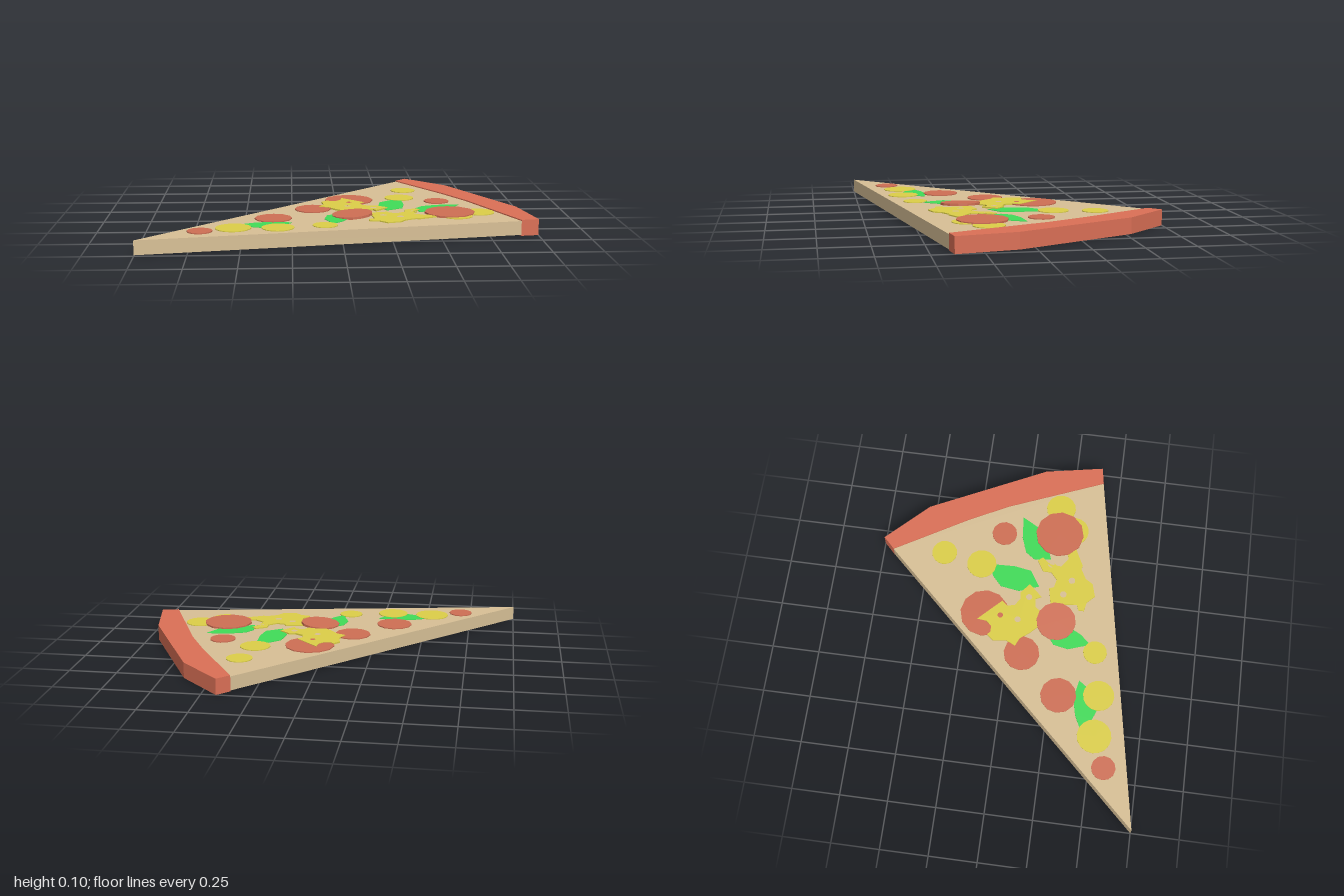
import * as THREE from 'three';

const mat = (color) => new THREE.MeshStandardMaterial({ color, flatShading: true });

export function createModel() {
  const group = new THREE.Group();
  group.name = 'pizzaSlice';
  const dough = mat(0xd8c096), crustRed = mat(0xdb7056), red = mat(0xcf6f54);
  const yellow = mat(0xdccf48), green = mat(0x40dc58);

  const add = (name, geometry, material) => {
    const mesh = new THREE.Mesh(geometry, material);
    mesh.name = name;
    group.add(mesh);
    return mesh;
  };

  // Upright slab from an [x, z] outline, with optional round holes [x, z, r]
  const slab = (name, outline, y0, y1, material, holes = []) => {
    const shape = new THREE.Shape(outline.map(([x, z]) => new THREE.Vector2(x, -z)));
    for (const [x, z, r] of holes) {
      shape.holes.push(new THREE.Path().absarc(x, -z, r, 0, Math.PI * 2, true));
    }
    const geo = new THREE.ExtrudeGeometry(shape, { depth: y1 - y0, bevelEnabled: false, curveSegments: 6 });
    geo.rotateX(-Math.PI / 2).translate(0, y0, 0);
    return add(name, geo, material);
  };

  // Flat round topping with its top face at height y
  const disc = (name, [x, z, r], y, sides, material) => {
    const h = 0.012;
    const mesh = add(name, new THREE.CylinderGeometry(r, r, h, sides), material);
    mesh.position.set(x, y - h / 2, z);
    return mesh;
  };

  // Dough wedge and crust share the inner edge
  const seam = [[0.365, -0.69], [0.59, -0.31], [0.7, -0.1], [0.91, 0.405]];
  slab('doughBase', [[-1, 0.75], ...seam], 0.005, 0.077, dough);
  slab('crust', [...seam, [1, 0.39], [0.94, 0.08], [0.64, -0.53], [0.425, -0.75]], 0, 0.083, crustRed);

  // Basil leaves
  const leaves = [
    [[0.345, -0.16], [0.35, -0.02], [0.335, 0.07], [0.25, 0.125], [0.21, 0.02], [0.225, -0.08], [0.28, -0.13]],
    [[0.645, -0.01], [0.595, 0.08], [0.5, 0.14], [0.415, 0.17], [0.405, 0.08], [0.44, 0.03], [0.525, 0]],
    [[-0.045, 0.435], [-0.085, 0.32], [-0.07, 0.24], [-0.01, 0.2], [0.045, 0.3], [0.005, 0.38]],
    [[-0.505, 0.43], [-0.44, 0.4], [-0.35, 0.38], [-0.25, 0.4], [-0.3, 0.47], [-0.385, 0.515], [-0.45, 0.49]],
  ];
  leaves.forEach((l) => slab('basilLeaf', l, 0.07, 0.0795, green));

  // Yellow rounds
  const rounds = [
    [-0.54, 0.51, 0.09], [-0.32, 0.51, 0.082], [-0.085, 0.465, 0.063], [0.34, -0.2, 0.08],
    [0.38, -0.41, 0.068], [0.725, 0.19, 0.08], [0.6, 0.275, 0.08],
  ];
  rounds.forEach((c) => disc('yellowRound', c, 0.081, 16, yellow));

  // Pepperoni lying on the dough
  const pepperoni = [
    [0.06, -0.145, 0.13], [-0.14, 0.08, 0.095], [-0.345, 0.3, 0.095],
    [-0.7, 0.575, 0.063], [0.535, -0.1, 0.068],
  ];
  pepperoni.forEach((c) => disc('pepperoni', c, 0.0825, 12, red));

  // Cheese pieces with holes
  slab('cheesePiece', [
    [0.02, -0.18], [0.14, -0.06], [0.115, -0.03], [0.125, 0.01], [0.165, 0.035], [0.2, 0.03],
    [0.255, 0.075], [0.19, 0.145], [0.175, 0.115], [0.13, 0.12], [0.11, 0.145], [0.02, 0.15],
    [-0.02, 0.11], [-0.06, 0.06], [-0.105, 0.04], [-0.08, -0.01], [-0.09, -0.08], [-0.06, -0.115],
    [-0.045, -0.1], [-0.01, -0.1], [0.015, -0.13],
  ], 0.072, 0.085, yellow, [[0.045, 0.035, 0.017], [0.18, 0.08, 0.017], [0.057, -0.06, 0.015]]);
  slab('cheesePiece', [
    [0.15, 0.2], [0.245, 0.18], [0.255, 0.205], [0.3, 0.215], [0.34, 0.18], [0.34, 0.135],
    [0.4, 0.1], [0.42, 0.125], [0.385, 0.17], [0.38, 0.23], [0.43, 0.265], [0.475, 0.25],
    [0.49, 0.3], [0.4, 0.345], [0.38, 0.34], [0.325, 0.37], [0.3, 0.41], [0.23, 0.43],
    [0.19, 0.39], [0.14, 0.38], [0.14, 0.35], [0.17, 0.34], [0.16, 0.25],
  ], 0.072, 0.083, yellow, [[0.22, 0.26, 0.018], [0.305, 0.297, 0.018], [0.385, 0.175, 0.018]]);

  // Pepperoni resting on the cheese, one of them tipped up
  disc('pepperoni', [0.57, 0.2, 0.13], 0.0865, 12, red);
  disc('tippedPepperoni', [0.06, 0.24, 0.105], 0.09, 14, red).rotation.z = 0.07;

  return group;
}
